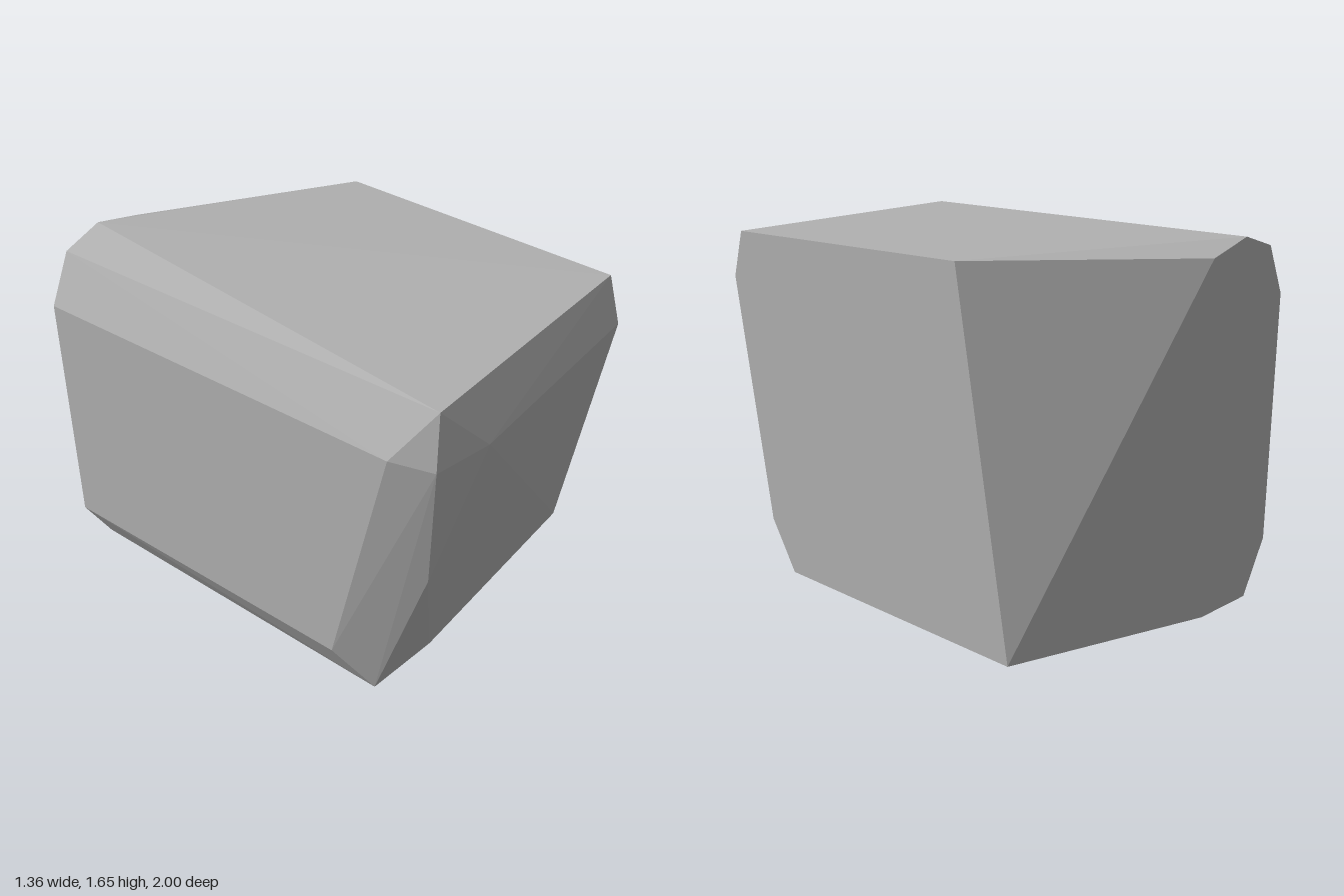
import * as THREE from 'three';
import { ConvexGeometry } from 'three/addons/geometries/ConvexGeometry.js';

const stone = new THREE.MeshStandardMaterial({ color: 0xb0b0b0 });
stone.name = 'grey stone';

// Corners of the chipped block, grouped by the side they belong to
const corners = {
  cutFace: [ // flat right side
    [0.68, 1.585, 0.92], [0.68, 1.375, 0.985], [0.68, 0.24, 0.81],
    [0.68, 0.01, 0.67], [0.68, 0.03, -0.67], [0.68, 1.625, -0.4],
  ],
  frontFace: [ // bulging front with bevelled top and bottom
    [-0.35, 1.36, 1.0], [-0.6, 1.345, 0.935], [-0.54, 0.75, 0.89],
    [-0.37, 0.215, 0.81], [-0.57, 0.02, 0.67], [-0.56, 1.582, 0.91],
  ],
  leftFace: [
    [-0.675, 1.37, 0.77], [-0.68, 0.24, 0.52], [-0.68, 1.37, -1], [-0.68, 0.24, -1],
  ],
  backFace: [ // flat back, chamfered towards the cut side
    [-0.57, 1.59, -1], [-0.38, 1.65, -1], [-0.15, 1.595, -1],
    [-0.2, 0.025, -1], [-0.54, 0, -1],
  ],
};

export function createModel() {
  const group = new THREE.Group();
  group.name = 'stoneBlock';

  // The faceted block is the convex skin around its corners
  const points = Object.values(corners).flat().map((p) => new THREE.Vector3(...p));
  const block = new THREE.Mesh(new ConvexGeometry(points), stone);
  block.name = 'block';
  group.add(block);
  return group;
}
